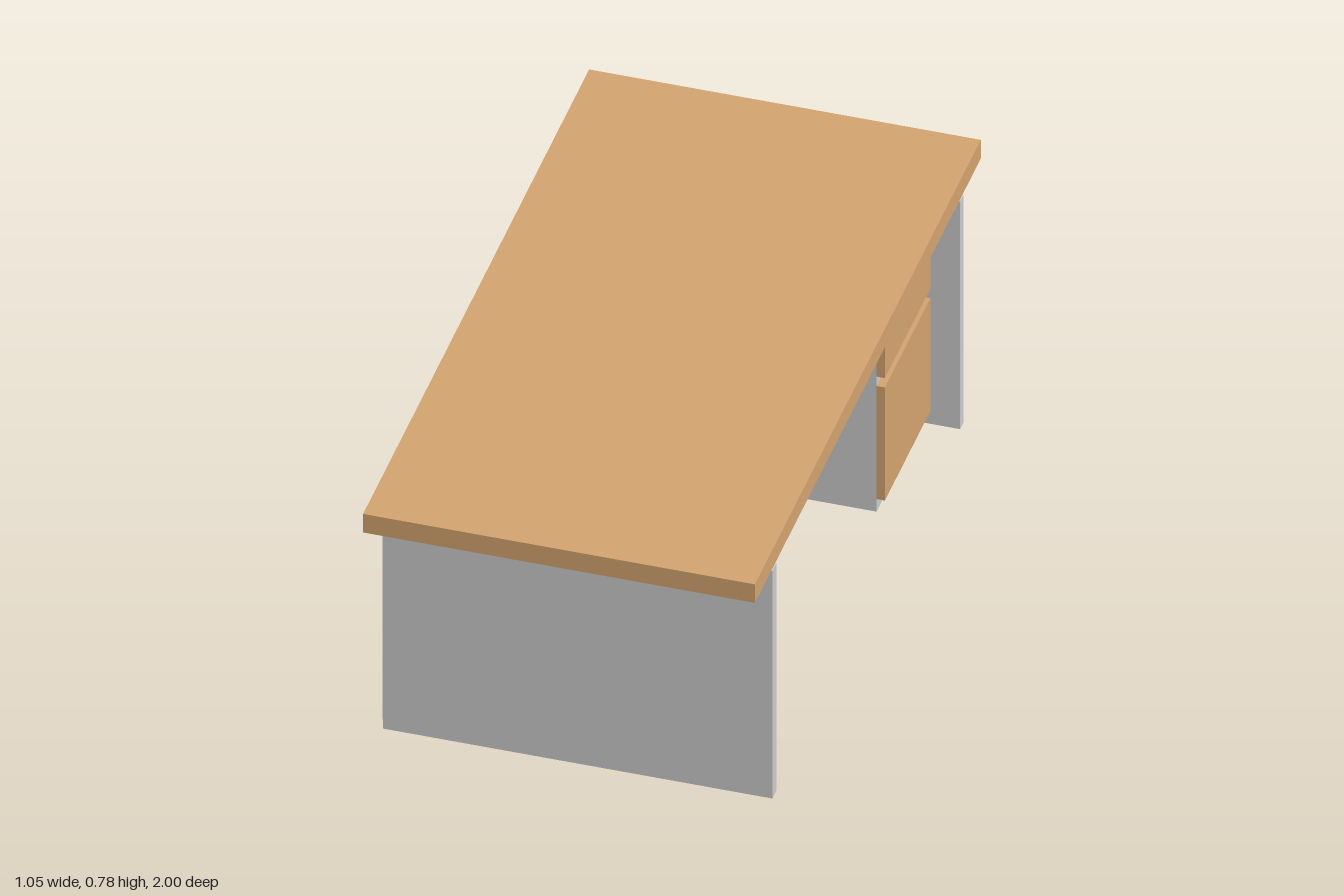
import * as THREE from 'three';

export function createModel() {
  const desk = new THREE.Group();
  desk.name = 'desk';
  const grey = new THREE.MeshStandardMaterial({ color: 0xcccccc });
  const wood = new THREE.MeshStandardMaterial({ color: 0xd2a36f });

  // Box given by its min and max along each axis
  function panel(name, material, [x0, x1], [y0, y1], [z0, z1]) {
    const mesh = new THREE.Mesh(new THREE.BoxGeometry(x1 - x0, y1 - y0, z1 - z0), material);
    mesh.position.set((x0 + x1) / 2, (y0 + y1) / 2, (z0 + z1) / 2);
    mesh.name = name;
    desk.add(mesh);
  }

  const underTop = 0.725;

  // Overhanging wooden top
  panel('tabletop', wood, [-0.524, 0.524], [underTop, 0.784], [-1, 1]);

  // Full-depth end panels and the long closing panel between them
  panel('leftEndPanel', grey, [-0.515, 0.527], [0, underTop], [0.82, 0.855]);
  panel('rightEndPanel', grey, [-0.515, 0.527], [0, underTop], [-0.837, -0.807]);
  panel('modestyPanel', grey, [-0.527, -0.515], [0, underTop], [-0.822, 0.817]);

  // Drawer cabinet with three fronts standing proud of it
  const cabinetZ = [-0.807, -0.405];
  panel('drawerCabinet', grey, [-0.515, 0.425], [0, underTop], cabinetZ);
  [[0.04, 0.4], [0.43, 0.55], [0.577, 0.7]].forEach((height, i) => {
    panel(`drawerFront${i + 1}`, wood, [0.425, 0.447], height, cabinetZ);
  });

  return desk;
}
